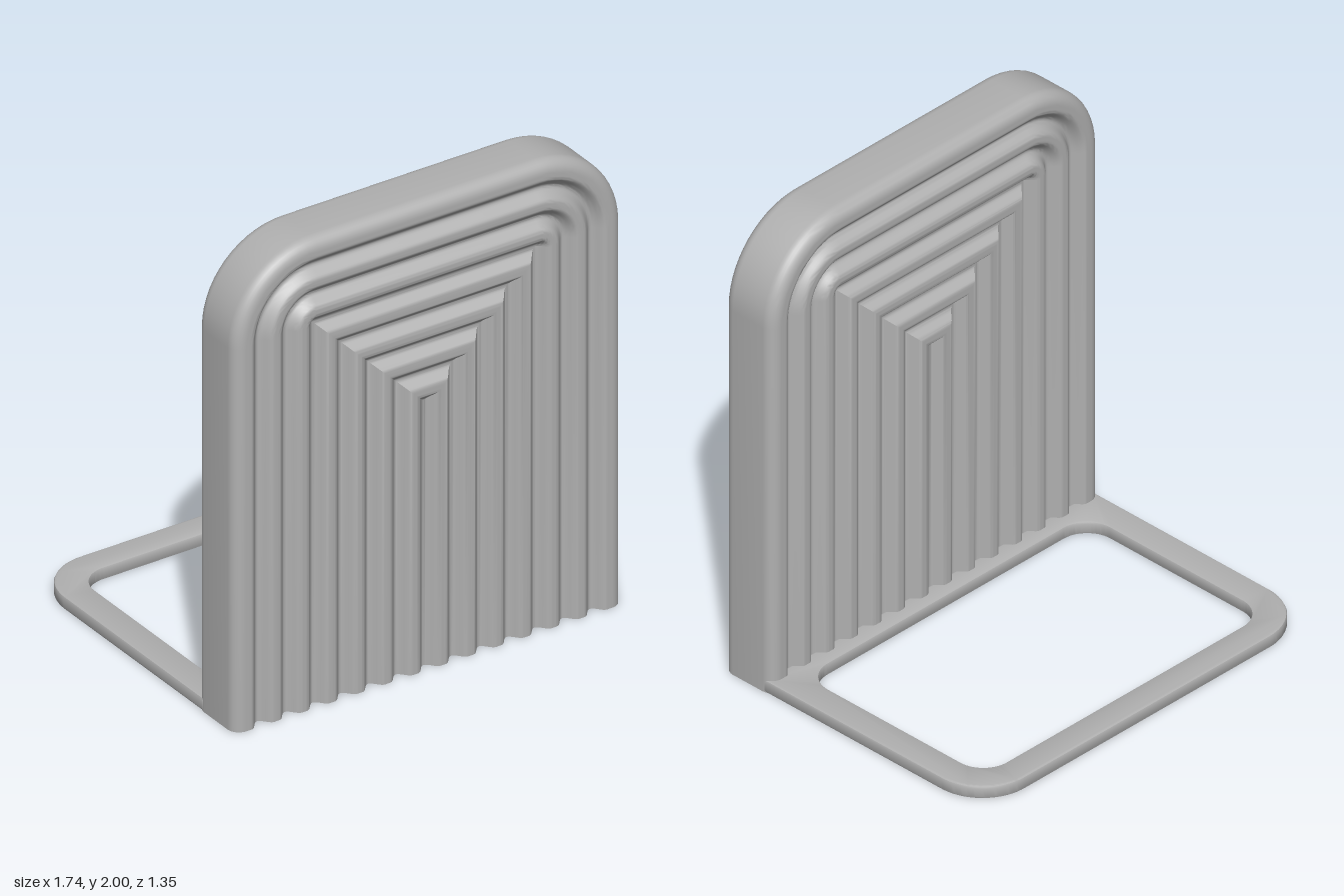
import * as THREE from 'three';
import { toCreasedNormals } from 'three/addons/utils/BufferGeometryUtils.js';

const HALF_W = 0.87, TOP = 2, CORNER = 0.37;    // arch outline
const Z_FRONT = 0.675, Z_BACK = 0.42;
const PITCH = HALF_W / 7, GROOVE = 0.04, ROUND = 0.05;

// Rib profile: inset from the outline and how far the surface dips there
function ribProfile() {
  const list = [];
  for (let i = 0; i <= 7; i++) {                // rounded outer edge
    const a = (i / 7) * Math.PI / 2;
    list.push({ d: ROUND * (1 - Math.cos(a)), dip: ROUND * (1 - Math.sin(a)) });
  }
  const steps = 20;
  for (let k = 9; k <= 7 * steps; k++) {        // rounded grooves, one per pitch
    const t = k % steps;
    const e = Math.min(t, steps - t) / steps * PITCH;
    const nearEdge = k < steps / 2;
    const dip = e < ROUND && !nearEdge ? GROOVE * (0.5 + 0.5 * Math.cos(Math.PI * e / ROUND)) : 0;
    list.push({ d: k / steps * PITCH, dip });
  }
  return list;
}

// Arch outline inset by d; the corner radius shrinks until it becomes a mitre
function archPath(d) {
  const r = Math.max(0, CORNER - d), cx = HALF_W - d - r, cy = TOP - d - r;
  const left = [[-(HALF_W - d), 0]];
  for (let i = 0; i <= 14; i++) {
    const a = (i / 14) * Math.PI / 2;
    left.push([-cx - r * Math.cos(a), cy + r * Math.sin(a)]);
  }
  return left.concat(left.map(([x, y]) => [-x, y]).reverse());
}

// Front centre -> outer wall -> back centre
function crossSection() {
  const rib = ribProfile();
  const front = rib.map(({ d, dip }) => ({ d, z: Z_FRONT - dip })).reverse();
  const back = rib.map(({ d, dip }) => ({ d, z: Z_BACK + dip }));
  return front.concat(back);
}

function ribbedSlab(section) {
  const rings = section.map(({ d, z }) => archPath(d).map(([x, y]) => new THREE.Vector3(x, y, z)));
  const pos = [];
  const tri = (a, b, c) => {
    const area = b.clone().sub(a).cross(c.clone().sub(a)).length();
    if (area > 1e-8) pos.push(...a, ...b, ...c);
  };
  for (let i = 0; i < rings.length - 1; i++) {
    const p = rings[i], q = rings[i + 1];
    for (let j = 0; j < p.length - 1; j++) {
      tri(p[j], p[j + 1], q[j]);
      tri(q[j], p[j + 1], q[j + 1]);
    }
  }
  const g = new THREE.BufferGeometry();
  g.setAttribute('position', new THREE.Float32BufferAttribute(pos, 3));
  return toCreasedNormals(g, 0.7);
}

// Scalloped underside of the slab
function slabUnderside(section) {
  const right = section.map(({ d, z }) => new THREE.Vector2(HALF_W - d, z));
  const left = right.slice(1, -1).map((p) => new THREE.Vector2(-p.x, p.y)).reverse();
  return new THREE.ShapeGeometry(new THREE.Shape(right.concat(left))).rotateX(Math.PI / 2);
}

// Rectangle in x and z with separate corner radii at the low and high z ends
function roundedRect(path, w, z0, z1, r0, r1) {
  path.moveTo(-w + r0, z0);
  path.lineTo(w - r0, z0);
  path.absarc(w - r0, z0 + r0, r0, -Math.PI / 2, 0);
  path.lineTo(w, z1 - r1);
  if (r1) path.absarc(w - r1, z1 - r1, r1, 0, Math.PI / 2);
  path.lineTo(-w + r1, z1);
  if (r1) path.absarc(-w + r1, z1 - r1, r1, Math.PI / 2, Math.PI);
  path.lineTo(-w, z0 + r0);
  path.absarc(-w + r0, z0 + r0, r0, Math.PI, Math.PI * 1.5);
  return path;
}

function footFrame() {
  const b = 0.01, height = 0.055;
  const shape = roundedRect(new THREE.Shape(), HALF_W - b, -0.675 + b, 0.46 - b, 0.21, 0);
  shape.holes.push(roundedRect(new THREE.Path(), 0.745 + b, -0.555 - b, 0.37 + b, 0.13, 0.13));
  const g = new THREE.ExtrudeGeometry(shape, {
    depth: height - 2 * b, bevelEnabled: true, bevelSize: b, bevelThickness: b,
    bevelSegments: 2, curveSegments: 14,
  });
  g.rotateX(Math.PI / 2).translate(0, height - b, 0);
  return toCreasedNormals(g, 0.5);
}

export function createModel() {
  const group = new THREE.Group();
  group.name = 'bookend';
  const grey = new THREE.MeshStandardMaterial({ color: 0xb0b0b0 });
  grey.name = 'grey';
  const add = (name, geometry) => {
    const mesh = new THREE.Mesh(geometry, grey);
    mesh.name = name;
    group.add(mesh);
  };
  const section = crossSection();
  add('ribbedSlab', ribbedSlab(section));
  add('slabUnderside', slabUnderside(section));
  add('footFrame', footFrame());
  return group;
}
